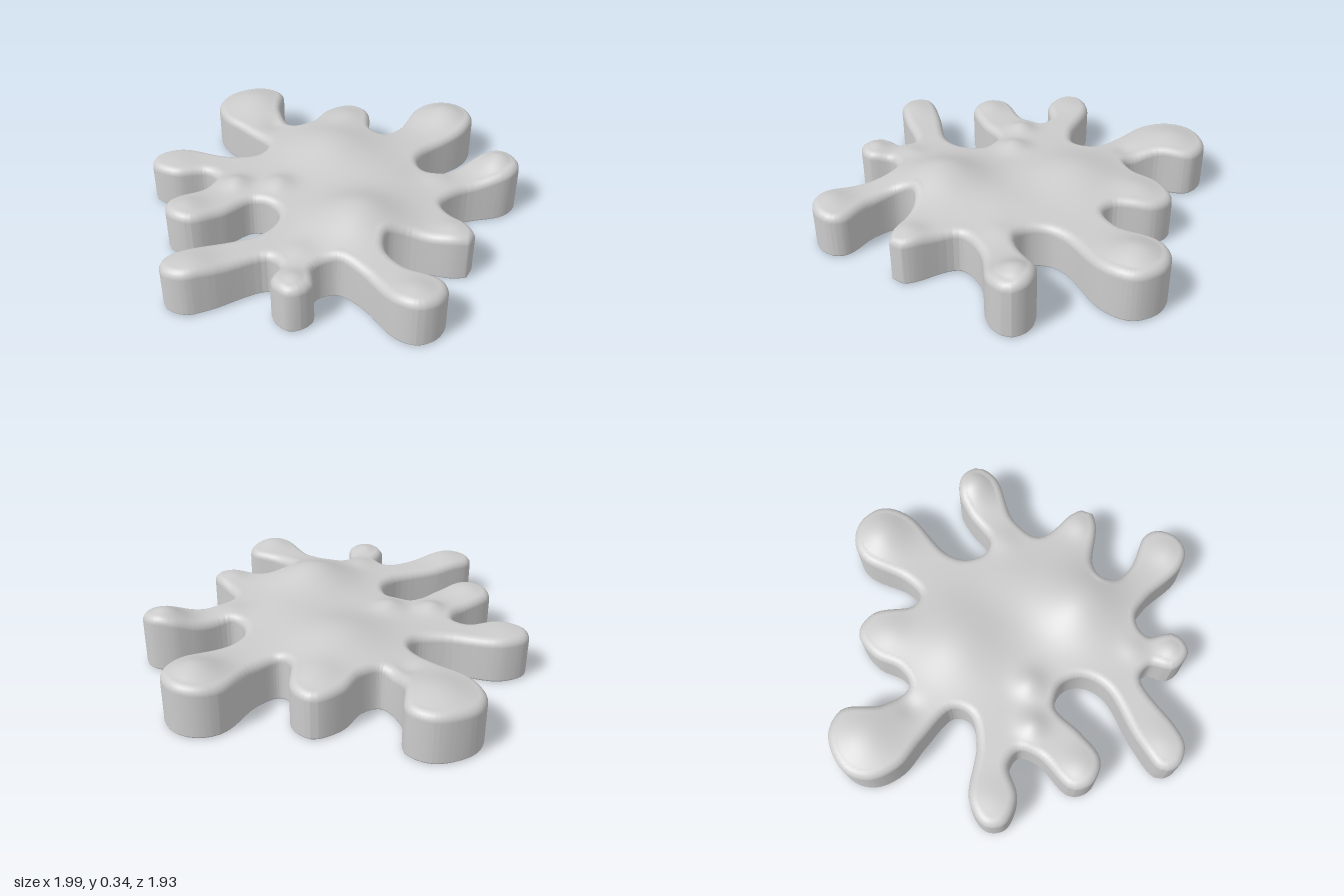
import * as THREE from 'three';
import { mergeVertices } from 'three/addons/utils/BufferGeometryUtils.js';

// Key points (x, z) of the splat's outline, one row or so per arm
const OUTLINE = [
  -.73, -.76, -.68, -.89, -.49, -.97, -.36, -.90, -.35, -.70, -.25, -.556, -.16, -.60,
  -.08, -.74, .06, -.82, .165, -.74, .19, -.53, .25, -.49, .35, -.57,
  .47, -.79, .58, -.84, .70, -.81, .78, -.69, .73, -.54, .50, -.34, .455, -.24, .48, -.14, .55, -.10,
  .72, -.21, .83, -.257, .94, -.24, .995, -.155, .93, -.05, .68, .04, .57, .17,
  .71, .38, .72, .46, .63, .49, .38, .45, .29, .485, .285, .57,
  .38, .67, .55, .755, .575, .83, .53, .92, .44, .963, .34, .925, .18, .73, .06, .65,
  -.04, .70, -.04, .85, -.14, .91, -.235, .82, -.205, .70, -.27, .645,
  -.53, .79, -.64, .83, -.74, .79, -.76, .70, -.60, .59, -.32, .46, -.25, .34, -.28, .235,
  -.40, .19, -.54, .31, -.69, .40, -.81, .345, -.83, .24, -.66, .09, -.62, -.01,
  -.69, -.063, -.85, -.03, -.985, -.10, -.985, -.20, -.85, -.27, -.57, -.22, -.42, -.25, -.385, -.34,
  -.53, -.49, -.67, -.61,
];

// Soft swells on the top surface: x, z, radius, height
const SWELLS = [
  [.15, .36, .22, .105], [-.02, -.30, .25, .075], [.30, .02, .20, .025],
  [.88, -.17, .12, .085], [.62, -.68, .15, .07], [-.50, -.78, .18, .055],
  [.05, -.65, .12, .03], [-.72, .30, .10, .03], [-.86, -.15, .10, .012],
  [.43, .87, .10, .03], [-.13, .82, .07, .03], [-.62, .74, .12, .028],
  [.62, .40, .08, .025], [-.50, .07, .07, .035], [-.28, .07, .08, .035],
  [.55, -.03, .08, .015], [-.12, .62, .07, .015], [-.37, -.55, .06, -.015],
];
const BASE = 0.237, RIM = 0.045, FOOT = 0.012, CELL = 1 / 64;

const height = (x, z) => SWELLS.reduce(
  (y, [cx, cz, r, h]) => y + h * Math.exp(-((x - cx) ** 2 + (z - cz) ** 2) / (r * r)), BASE);

function smoothOutline() {
  const keys = [];
  for (let i = 0; i < OUTLINE.length; i += 2) keys.push(new THREE.Vector3(OUTLINE[i], 0, OUTLINE[i + 1]));
  return new THREE.CatmullRomCurve3(keys, true, 'centripetal').getPoints(keys.length * 7);
}

// Nearest outline point and the signed depth inside the rim
function probe(loop, x, z) {
  let best = Infinity, qx = 0, qz = 0, inside = false;
  for (let i = 1; i < loop.length; i++) {
    const a = loop[i - 1], b = loop[i];
    const ex = b.x - a.x, ez = b.z - a.z;
    const t = THREE.MathUtils.clamp(((x - a.x) * ex + (z - a.z) * ez) / (ex * ex + ez * ez || 1), 0, 1);
    const px = a.x + ex * t, pz = a.z + ez * t;
    const d = (x - px) ** 2 + (z - pz) ** 2;
    if (d < best) { best = d; qx = px; qz = pz; }
    if ((a.z > z) !== (b.z > z) && x < a.x + ex * (z - a.z) / ez) inside = !inside;
  }
  return { x, z, qx, qz, depth: (inside ? 1 : -1) * Math.sqrt(best) - RIM };
}

// Edge section from the top down: share of the way out to the outline, and height
function edgeSection(top) {
  const section = [];
  for (let i = 0; i <= 6; i++) {
    const a = i / 6 * Math.PI / 2;
    section.push([Math.sin(a), top - RIM * (1 - Math.cos(a))]);
  }
  for (let i = 0; i <= 3; i++) {
    const a = i / 3 * Math.PI / 2;
    section.push([1 - FOOT / RIM * (1 - Math.cos(a)), FOOT * (1 - Math.sin(a))]);
  }
  section.push([0, 0]);
  return section;
}

function splatGeometry() {
  const loop = smoothOutline();
  const positions = [];
  const tri = (a, b, c) => positions.push(...a, ...b, ...c);
  const edgeColumn = p => edgeSection(height(p.x, p.z)).map(
    ([s, y]) => [p.x + (p.qx - p.x) * s, y, p.z + (p.qz - p.z) * s]);

  // Rounded side between two neighbouring rim points
  const addEdge = (p, q) => {
    const P = edgeColumn(p), Q = edgeColumn(q);
    for (let k = 1; k < P.length; k++) {
      tri(Q[k - 1], P[k - 1], P[k]);
      tri(Q[k - 1], P[k], Q[k]);
    }
  };

  // Point where a grid edge crosses the rim, always taken from the inner end
  const cross = (a, b) => {
    const [i, o] = a.depth >= 0 ? [a, b] : [b, a];
    const t = i.depth / (i.depth - o.depth);
    return probe(loop, i.x + (o.x - i.x) * t, i.z + (o.z - i.z) * t);
  };

  // Top and underside: grid triangles trimmed to the rim
  const addTrimmed = corners => {
    const poly = [];
    let exit = null, entry = null;
    corners.forEach((a, i) => {
      const b = corners[(i + 1) % 3];
      if (a.depth >= 0) poly.push(a);
      if ((a.depth >= 0) !== (b.depth >= 0)) {
        const c = cross(a, b);
        poly.push(c);
        if (a.depth >= 0) exit = c; else entry = c;
      }
    });
    const top = poly.map(p => [p.x, height(p.x, p.z), p.z]);
    const under = poly.map(p => [p.x, 0, p.z]);
    for (let i = 2; i < poly.length; i++) {
      tri(top[0], top[i - 1], top[i]);
      tri(under[0], under[i], under[i - 1]);
    }
    if (exit) addEdge(exit, entry);
  };

  const n = Math.round(2.1 / CELL);
  const grid = [];
  for (let i = 0; i <= n; i++) {
    grid.push([]);
    for (let j = 0; j <= n; j++) grid[i].push(probe(loop, -1.05 + i * CELL, -1.05 + j * CELL));
  }
  for (let i = 0; i < n; i++) {
    for (let j = 0; j < n; j++) {
      const a = grid[i][j], b = grid[i][j + 1], c = grid[i + 1][j], d = grid[i + 1][j + 1];
      addTrimmed([a, b, c]);
      addTrimmed([c, b, d]);
    }
  }

  const raw = new THREE.BufferGeometry();
  raw.setAttribute('position', new THREE.Float32BufferAttribute(positions, 3));
  const geometry = mergeVertices(raw, 1e-4);
  geometry.computeVertexNormals();
  return geometry;
}

export function createModel() {
  const group = new THREE.Group();
  group.name = 'splat';
  const body = new THREE.Mesh(splatGeometry(), new THREE.MeshStandardMaterial({ color: 0xcccccc }));
  body.name = 'splatBody';
  group.add(body);
  return group;
}
